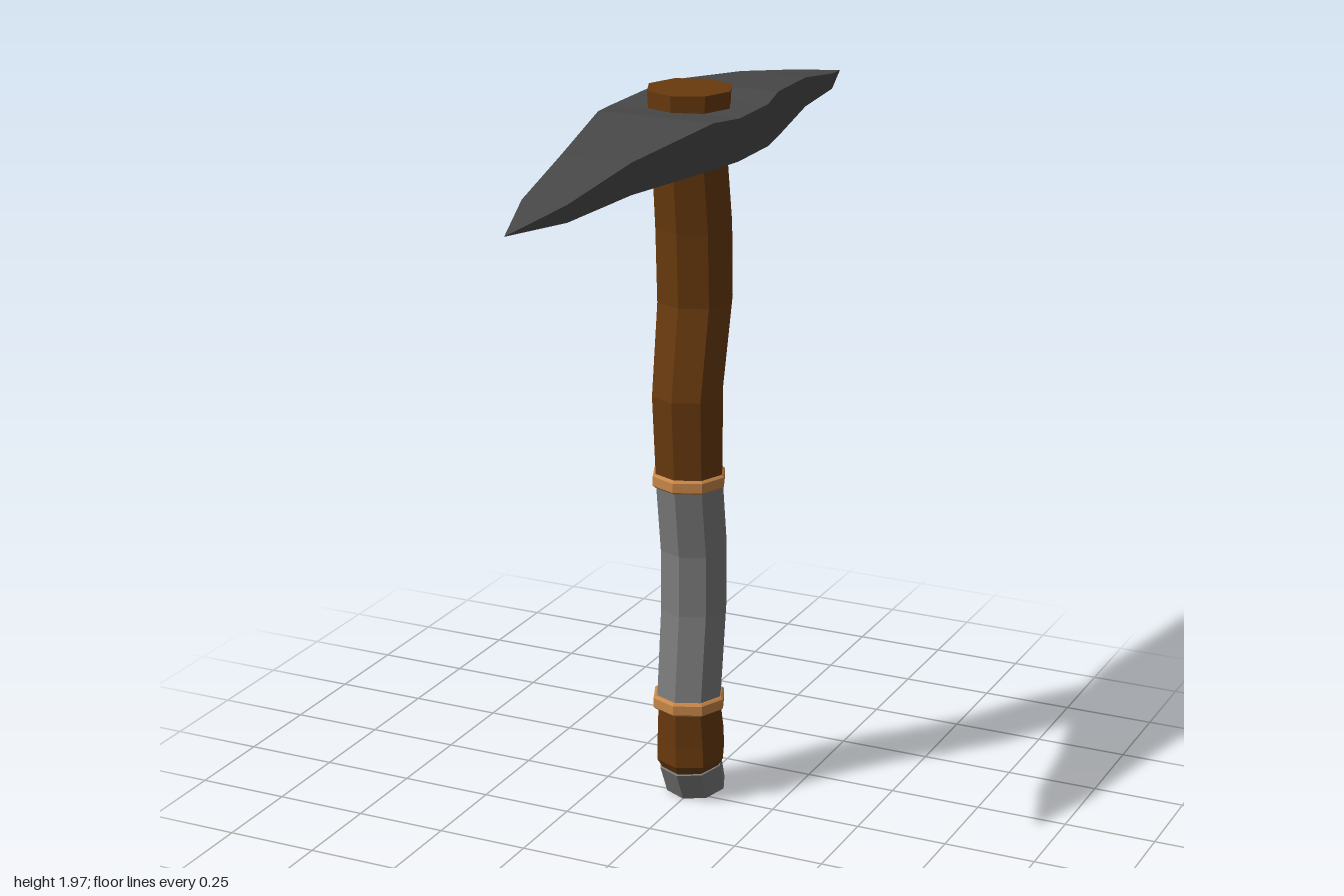
import * as THREE from 'three';

// Skin a list of equal-sized rings of points, ends capped with fans.
function loft(name, rings, color) {
  const n = rings[0].length, pos = [];
  const tri = (...pts) => pts.forEach((p) => pos.push(p[0], p[1], p[2]));
  for (let k = 0; k < rings.length - 1; k++) {
    const lo = rings[k], hi = rings[k + 1];
    for (let i = 0; i < n; i++) {
      const j = (i + 1) % n;
      tri(lo[i], lo[j], hi[j]);
      tri(lo[i], hi[j], hi[i]);
    }
  }
  const first = rings[0], last = rings[rings.length - 1];
  for (let i = 1; i < n - 1; i++) {
    tri(first[0], first[i + 1], first[i]);
    tri(last[0], last[i], last[i + 1]);
  }
  const geo = new THREE.BufferGeometry();
  geo.setAttribute('position', new THREE.Float32BufferAttribute(pos, 3));
  geo.computeVertexNormals();
  const mesh = new THREE.Mesh(geo, new THREE.MeshStandardMaterial({ color, flatShading: true }));
  mesh.name = name;
  return mesh;
}

// Eight-sided ring around the bent handle; slope tilts it front to back.
function octagon([y, zc, r, slope = 0]) {
  return Array.from({ length: 8 }, (_, i) => {
    const a = (i * Math.PI) / 4, dz = r * Math.cos(a);
    return [r * Math.sin(a), y + dz * slope, zc + dz];
  });
}

export function createModel() {
  const group = new THREE.Group();
  const wood = 0x693a0e, leather = 0xc88748, wrap = 0x7c7c7c, iron = 0x484848;
  const tube = (name, rows, color) => group.add(loft(name, rows.map(octagon), color));

  // Wooden handle: bent upper shaft and short lower shaft
  tube('upperHandle', [
    [0.92, 0, 0.094], [1.165, 0.012, 0.099], [1.41, -0.035, 0.105],
    [1.61, -0.027, 0.106], [1.79, -0.003, 0.103], [1.98, 0, 0.115],
  ], wood);
  tube('lowerHandle', [
    [0.1, -0.008, 0.082, -0.1], [0.125, -0.008, 0.097, -0.08],
    [0.18, -0.008, 0.096, -0.04], [0.29, 0.002, 0.088],
  ], wood);

  // Wrapped grip between two bands
  tube('grip', [
    [0.29, 0.003, 0.092], [0.55, -0.028, 0.094], [0.72, -0.028, 0.094], [0.93, 0.002, 0.094],
  ], wrap);
  for (const [name, y] of [['lowerBand', 0.292], ['upperBand', 0.928]]) {
    tube(name, [
      [y - 0.019, 0.003, 0.095], [y - 0.013, 0.003, 0.102],
      [y + 0.013, 0.003, 0.102], [y + 0.019, 0.003, 0.095],
    ], leather);
  }

  // Tilted pommel
  tube('pommel', [[0.018, -0.042, 0.084, -0.14], [0.102, -0.007, 0.088, -0.14]], wrap);

  // Double-pointed head: rows of z, half width, top and bottom
  const half = [
    [0.09, 0.18, 1.935, 1.825], [0.2, 0.16, 1.944, 1.825], [0.53, 0.095, 1.91, 1.83],
    [0.8, 0.06, 1.865, 1.822], [1, 0, 1.83, 1.83],
  ];
  const back = half.map(([z, ...rest]) => [-z, ...rest]).reverse();
  group.add(loft('head', [...back, ...half].map(([z, w, top, bottom]) => [
    [-w, bottom, z], [w, bottom, z], [w, top, z], [-w, top, z],
  ]), iron));

  // Tapered collar under the head
  const collar = (y, w, z1, w2, z2) => [
    [-w2, y, z2], [w2, y, z2], [w, y, z1], [w, y, -z1],
    [w2, y, -z2], [-w2, y, -z2], [-w, y, -z1], [-w, y, z1],
  ];
  group.add(loft('headCollar', [
    collar(1.8, 0.125, 0.07, 0.1, 0.145), collar(1.827, 0.178, 0.09, 0.155, 0.2),
  ], iron));
  return group;
}
